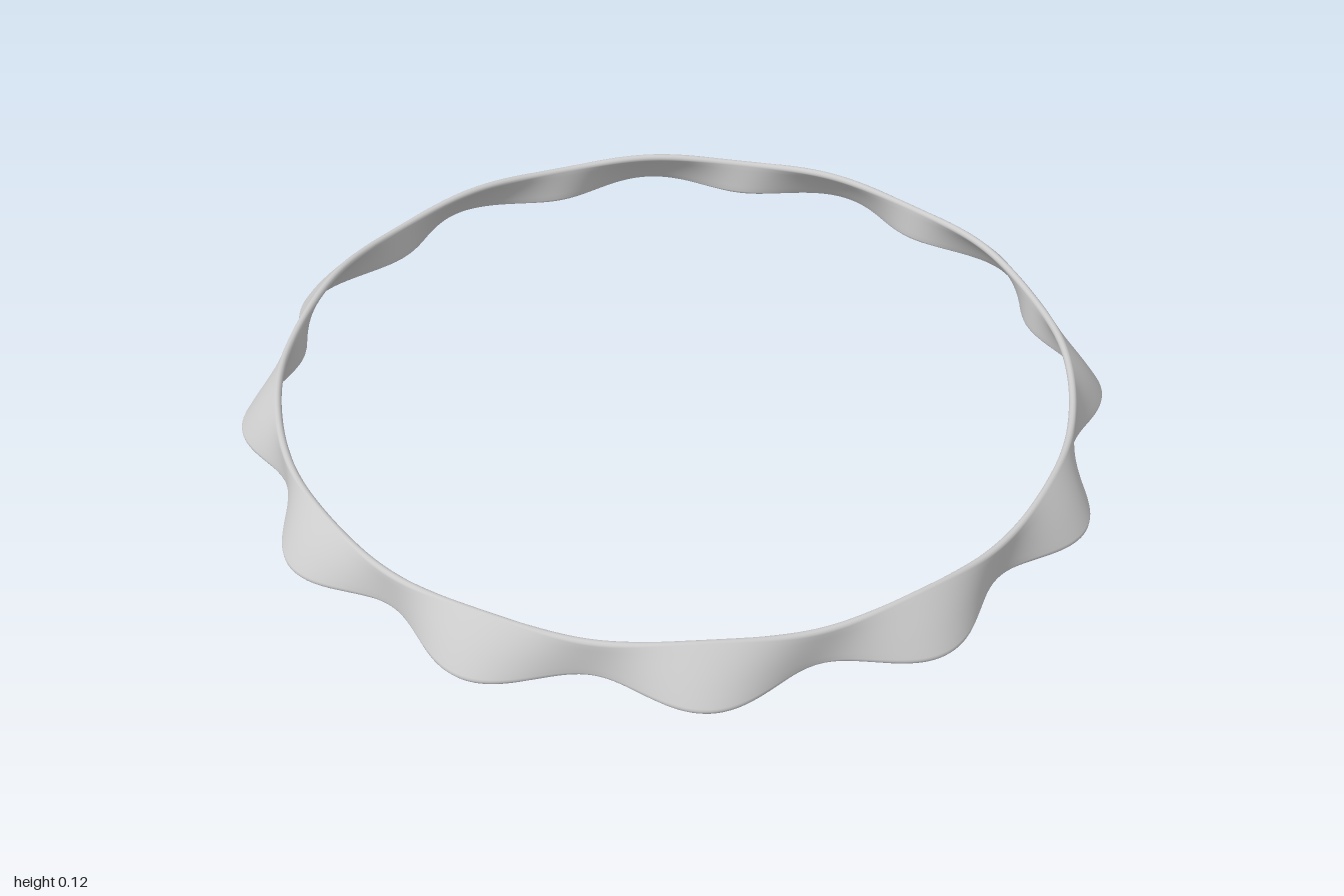
import * as THREE from 'three';

const WAVES = 12, AROUND = 480, PHASE = THREE.MathUtils.degToRad(7.5);
const HALF = 0.009; // half the thickness of the band
const CAP = 6, SIDE = 6;

// Rounded slab section as [radius, height] points, counterclockwise.
// flare: 0 = upright trough, 1 = slanted crest.
function section(flare) {
  const top = new THREE.Vector2(0.914, 0.1 + 0.011 * flare);
  const low = new THREE.Vector2(0.914 + 0.084 * flare, 0.022 - 0.013 * flare);
  const up = top.clone().sub(low).normalize();
  const out = new THREE.Vector2(up.y, -up.x);
  const points = [];
  const add = (c, o, u) => points.push(c.clone().addScaledVector(out, o).addScaledVector(up, u));
  const bulge = (t) => 0.004 * flare * Math.sin(Math.PI * t);
  // outer face, rising
  for (let i = 1; i < SIDE; i++) add(low.clone().lerp(top, i / SIDE), HALF + bulge(i / SIDE), 0);
  // rounded upper rim
  for (let i = 0; i <= CAP; i++) {
    const a = Math.PI * i / CAP;
    add(top, HALF * Math.cos(a), HALF * Math.sin(a));
  }
  // inner face, falling
  for (let i = SIDE - 1; i > 0; i--) add(low.clone().lerp(top, i / SIDE), -HALF + bulge(i / SIDE), 0);
  // rounded lower rim
  for (let i = 0; i <= CAP; i++) {
    const a = Math.PI * (1 + i / CAP);
    add(low, HALF * Math.cos(a), HALF * Math.sin(a));
  }
  return points;
}

// Sweep the changing section around the circle
function wavyBand() {
  const positions = [], indices = [];
  const n = section(0).length;
  for (let i = 0; i < AROUND; i++) {
    const angle = 2 * Math.PI * i / AROUND;
    const flare = 0.5 + 0.5 * Math.cos(WAVES * (angle - PHASE));
    for (const p of section(flare)) {
      positions.push(p.x * Math.sin(angle), p.y, p.x * Math.cos(angle));
    }
    const next = (i + 1) % AROUND;
    for (let j = 0; j < n; j++) {
      const k = (j + 1) % n;
      const a = i * n + j, b = next * n + j, c = next * n + k, d = i * n + k;
      indices.push(a, b, c, a, c, d);
    }
  }
  const geometry = new THREE.BufferGeometry();
  geometry.setAttribute('position', new THREE.Float32BufferAttribute(positions, 3));
  geometry.setIndex(indices);
  geometry.computeVertexNormals();
  return geometry;
}

export function createModel() {
  const group = new THREE.Group();
  group.name = 'wavyRing';
  const silver = new THREE.MeshStandardMaterial({ color: 0xcccccc });
  silver.name = 'light grey';
  const band = new THREE.Mesh(wavyBand(), silver);
  band.name = 'flutedBand';
  group.add(band);
  return group;
}
